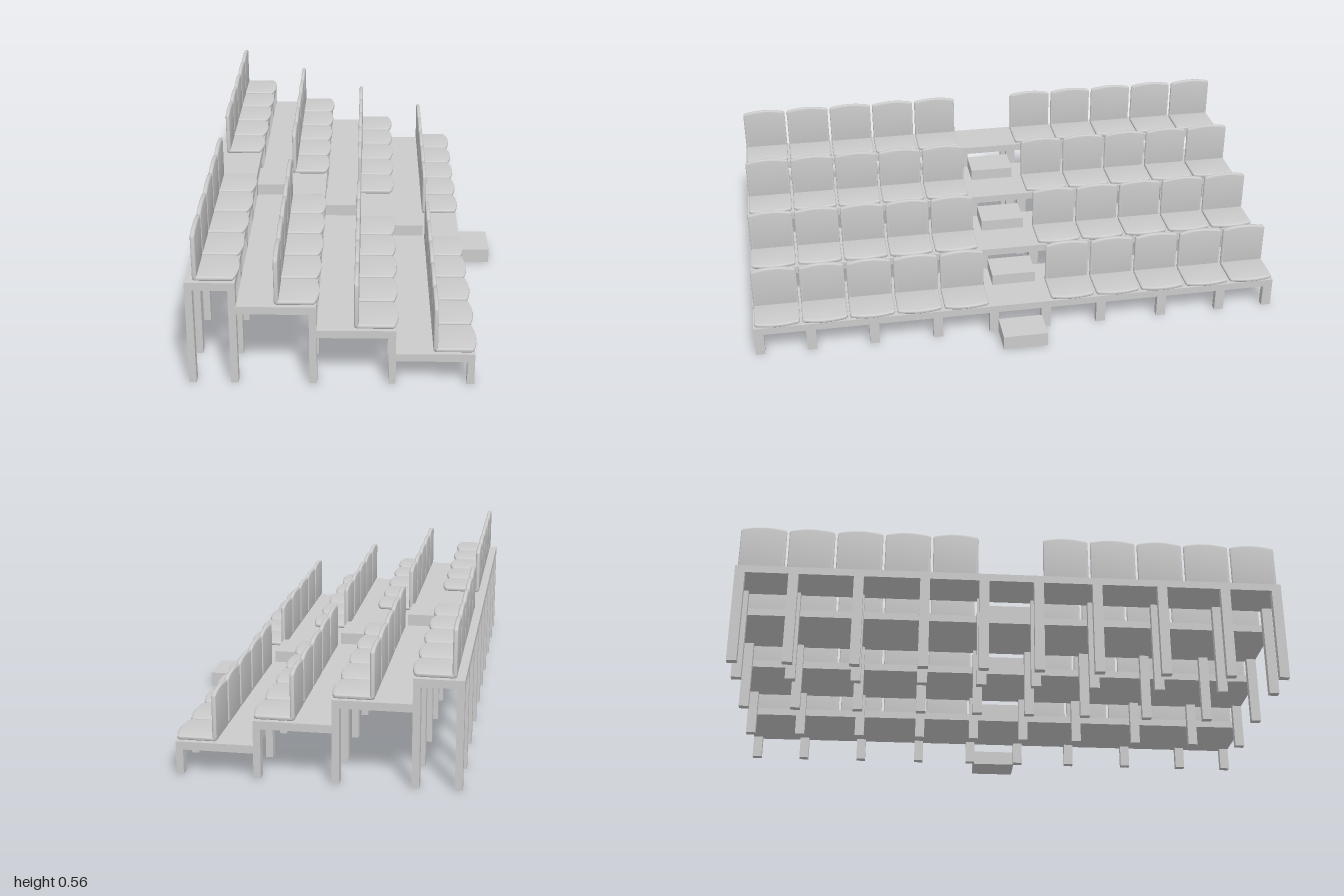
import * as THREE from 'three';
import { toCreasedNormals } from 'three/addons/utils/BufferGeometryUtils.js';

const ROWS = 4, PITCH = 0.2655, RISE = 0.0877;
const SEAT_W = 0.168, THICK = 0.015, BEVEL = 0.006;

// Padded panel: straight sides, rounded corners, bowed far end; starts at y = 0, thickness along z
function panelGeometry(length, bow) {
  const b = BEVEL, w = SEAT_W / 2 - b, end = length - b, side = end - bow, r = 0.006;
  const s = new THREE.Shape();
  s.moveTo(-w + r, b);
  s.lineTo(w - r, b);
  s.quadraticCurveTo(w, b, w, b + r);
  s.lineTo(w, side - r);
  s.quadraticCurveTo(w, side, w - r, side + bow * 0.1);
  s.quadraticCurveTo(0, end + bow * 0.9, -w + r, side + bow * 0.1);
  s.quadraticCurveTo(-w, side, -w, side - r);
  s.lineTo(-w, b + r);
  s.quadraticCurveTo(-w, b, -w + r, b);
  const g = new THREE.ExtrudeGeometry(s, {
    depth: THICK - 2 * b, bevelThickness: b, bevelSize: b, bevelSegments: 3, curveSegments: 6,
  });
  g.translate(0, 0, b);
  return toCreasedNormals(g, 0.7);
}

export function createModel() {
  const model = new THREE.Group();
  model.name = 'tieredSeating';
  const mat = new THREE.MeshStandardMaterial({ color: 0xcccccc });

  // Box given by its limits on each axis
  function box(name, x0, x1, y0, y1, z0, z1) {
    const m = new THREE.Mesh(new THREE.BoxGeometry(x1 - x0, y1 - y0, z1 - z0), mat);
    m.name = name;
    m.position.set((x0 + x1) / 2, (y0 + y1) / 2, (z0 + z1) / 2);
    model.add(m);
  }

  // Row of legs whose outer x edge is x1
  const legZ = [0.1, 0.315, 0.555, 0.79, 0.982];
  function legRow(x1, height) {
    for (const z of legZ) {
      for (const side of [-1, 1]) {
        box('leg', x1 - 0.025, x1, 0, height, side * z - 0.018, side * z + 0.018);
      }
    }
  }

  // Seat cushion lies flat towards +x, backrest stands up
  const cushionGeo = panelGeometry(0.149, 0.012);
  cushionGeo.applyMatrix4(new THREE.Matrix4().makeBasis(
    new THREE.Vector3(0, 0, 1), new THREE.Vector3(1, 0, 0), new THREE.Vector3(0, 1, 0)));
  const backGeo = panelGeometry(0.175, 0.009);
  backGeo.rotateY(Math.PI / 2);

  function seat(x, y, z) {
    const g = new THREE.Group();
    g.name = 'seat';
    const cushion = new THREE.Mesh(cushionGeo, mat);
    cushion.name = 'seatCushion';
    const back = new THREE.Mesh(backGeo, mat);
    back.name = 'seatBack';
    g.add(cushion, back);
    g.position.set(x, y, z);
    model.add(g);
  }

  // Tiers from the highest at the back (-x) down to the front (+x)
  legRow(-0.517, 0.352);
  for (let i = 0; i < ROWS; i++) {
    const front = -0.375 + i * PITCH;
    const back = i === 0 ? -0.542 : front - PITCH;
    const top = 0.378 - i * RISE;
    box('deck', back, front, top - 0.028, top, -1, 1);
    legRow(front, top - 0.027);

    // Aisle step below this tier; the last one stands on the ground
    const last = i === ROWS - 1;
    const base = last ? 0 : top - RISE;
    box('aisleStep', front, front + 0.121, base, last ? 0.055 : base + 0.044, -0.084, 0.084);

    // Five seats on each side of the aisle
    for (let k = 0; k < 5; k++) {
      const z = 0.204 + k * 0.1768;
      seat(-0.515 + i * PITCH, top + 0.004, z);
      seat(-0.515 + i * PITCH, top + 0.004, -z);
    }
  }
  return model;
}
